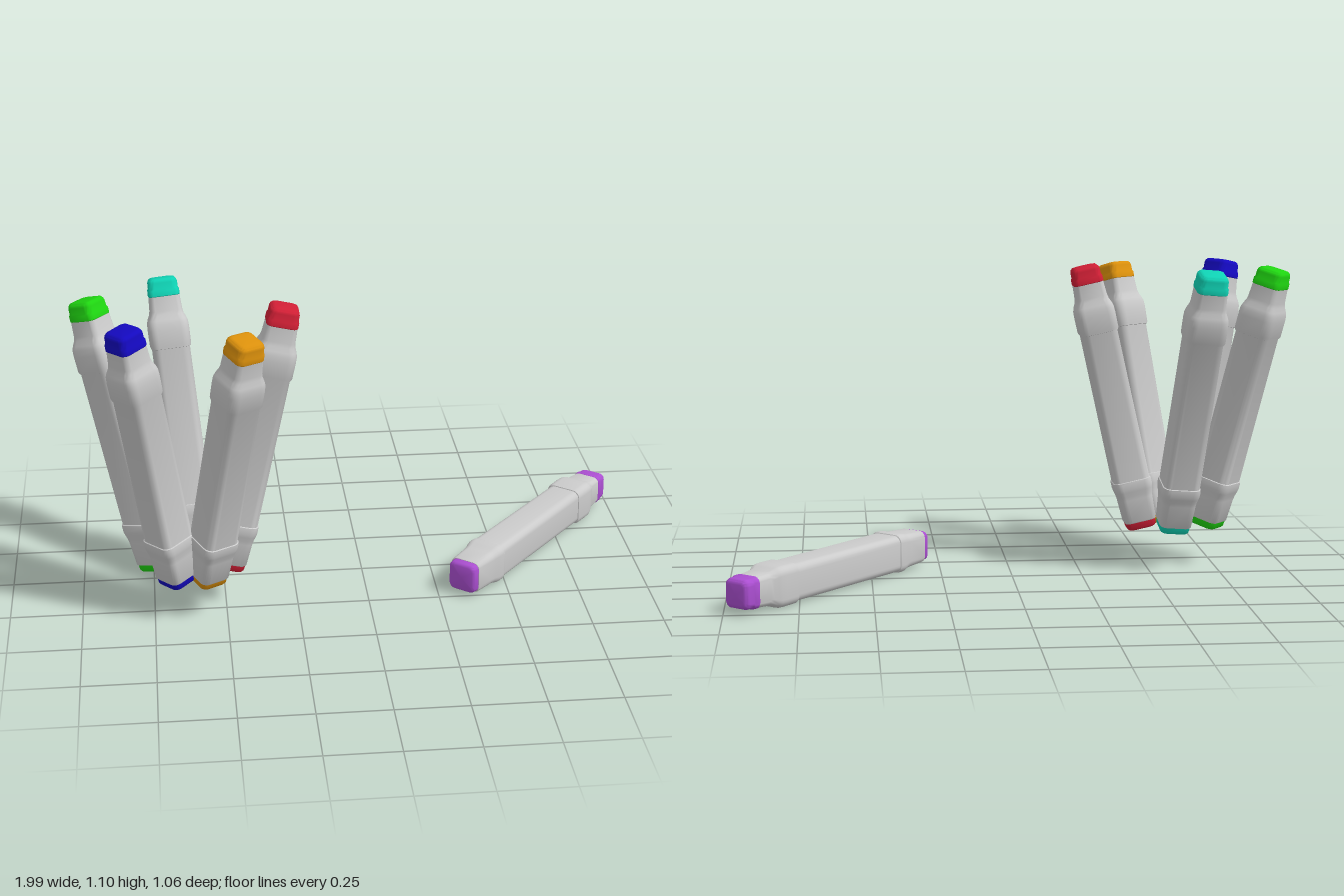
import * as THREE from 'three';
import { toCreasedNormals } from 'three/addons/utils/BufferGeometryUtils.js';

const LENGTH = 0.98;
const CORNER_STEPS = 6;

// Profiles along the marker: [distance from foot, half width]
const FOOT = [[0, 0], [0, 0.043], [0.003, 0.049], [0.009, 0.053], [0.03, 0.055], [0.03, 0]];
const BARREL = [
  [0.028, 0], [0.028, 0.056], [0.031, 0.058], [0.115, 0.062], [0.13, 0.064], [0.146, 0.068],
  [0.158, 0.070], [0.177, 0.070], [0.183, 0.069], [0.185, 0.066],
  [0.736, 0.065], [0.737, 0.068], [0.744, 0.0705], [0.80, 0.071], [0.822, 0.070],
  [0.836, 0.066], [0.852, 0.059], [0.866, 0.056], [0.918, 0.053], [0.918, 0],
];
const CAP = [
  [0.916, 0], [0.916, 0.052], [0.919, 0.0545], [0.938, 0.054], [0.943, 0.051],
  [0.964, 0.0505], [0.972, 0.048], [0.978, 0.043], [0.98, 0.034], [0.981, 0],
];

// Unit square outline with rounded corners
function roundedSquare(radius = 0.42) {
  const points = [];
  for (let q = 0; q < 4; q++) {
    const mid = (q + 0.5) * Math.PI / 2;
    const cx = Math.sign(Math.cos(mid)) * (1 - radius);
    const cz = Math.sign(Math.sin(mid)) * (1 - radius);
    for (let i = 0; i <= CORNER_STEPS; i++) {
      const a = (q + i / CORNER_STEPS) * Math.PI / 2;
      points.push([cx + radius * Math.cos(a), cz + radius * Math.sin(a)]);
    }
  }
  return points;
}

// Stack scaled copies of the outline along y
function loft(profile) {
  const ring = roundedSquare();
  const n = ring.length;
  const positions = [];
  const index = [];
  for (const [y, h] of profile) {
    for (const [x, z] of ring) positions.push(x * h, y - LENGTH / 2, z * h);
  }
  for (let j = 0; j < profile.length - 1; j++) {
    for (let i = 0; i < n; i++) {
      const k = (i + 1) % n;
      const a = j * n + i, b = a + n, c = j * n + k, d = c + n;
      if (profile[j][1] > 0) index.push(a, b, c);
      if (profile[j + 1][1] > 0) index.push(c, b, d);
    }
  }
  const geometry = new THREE.BufferGeometry();
  geometry.setAttribute('position', new THREE.Float32BufferAttribute(positions, 3));
  geometry.setIndex(index);
  return toCreasedNormals(geometry, 0.7);
}

// foot and tip are axis end points, roll turns the marker about its own axis
const MARKERS = [
  { name: 'redMarker', color: 0xd01f35, foot: [-0.49, 0.14, 0.19], tip: [-0.276, 1.093, 0.19], roll: 0 },
  { name: 'tealMarker', color: 0x0fd2b4, foot: [-0.59, 0.148, 0.088], tip: [-0.682, 1.09, -0.155], roll: 3 },
  { name: 'greenMarker', color: 0x1fd411, foot: [-0.73, 0.143, 0.185], tip: [-0.941, 1.09, 0.048], roll: -38 },
  { name: 'blueMarker', color: 0x1409c0, foot: [-0.667, 0.137, 0.287], tip: [-0.815, 1.098, 0.388], roll: 41 },
  { name: 'orangeMarker', color: 0xdb900c, foot: [-0.567, 0.134, 0.283], tip: [-0.422, 1.083, 0.472], roll: 33 },
  { name: 'lyingPurpleMarker', color: 0xac4fd2, foot: [0.325, 0.075, 0.25], tip: [0.96, 0.075, -0.505], lying: true },
];

export function createModel() {
  const model = new THREE.Group();
  model.name = 'markerSet';
  const parts = { footCap: loft(FOOT), barrel: loft(BARREL), topCap: loft(CAP) };
  const grey = new THREE.MeshStandardMaterial({ color: 0xcccccc });
  const up = new THREE.Vector3(0, 1, 0);

  for (const { name, color, foot, tip, roll, lying } of MARKERS) {
    const marker = new THREE.Group();
    marker.name = name;
    const paint = new THREE.MeshStandardMaterial({ color });
    for (const [part, geometry] of Object.entries(parts)) {
      const mesh = new THREE.Mesh(geometry, part === 'barrel' ? grey : paint);
      mesh.name = part;
      marker.add(mesh);
    }

    const a = new THREE.Vector3(...foot);
    const b = new THREE.Vector3(...tip);
    const axis = b.clone().sub(a).normalize();
    marker.position.copy(a).add(b).multiplyScalar(0.5);
    if (lying) {
      // One flat side stays level with the ground
      const side = new THREE.Vector3().crossVectors(axis, up);
      marker.quaternion.setFromRotationMatrix(new THREE.Matrix4().makeBasis(side, axis, side.clone().cross(axis)));
    } else {
      marker.quaternion.setFromUnitVectors(up, axis);
      marker.rotateY(THREE.MathUtils.degToRad(roll));
    }
    model.add(marker);
  }
  return model;
}
